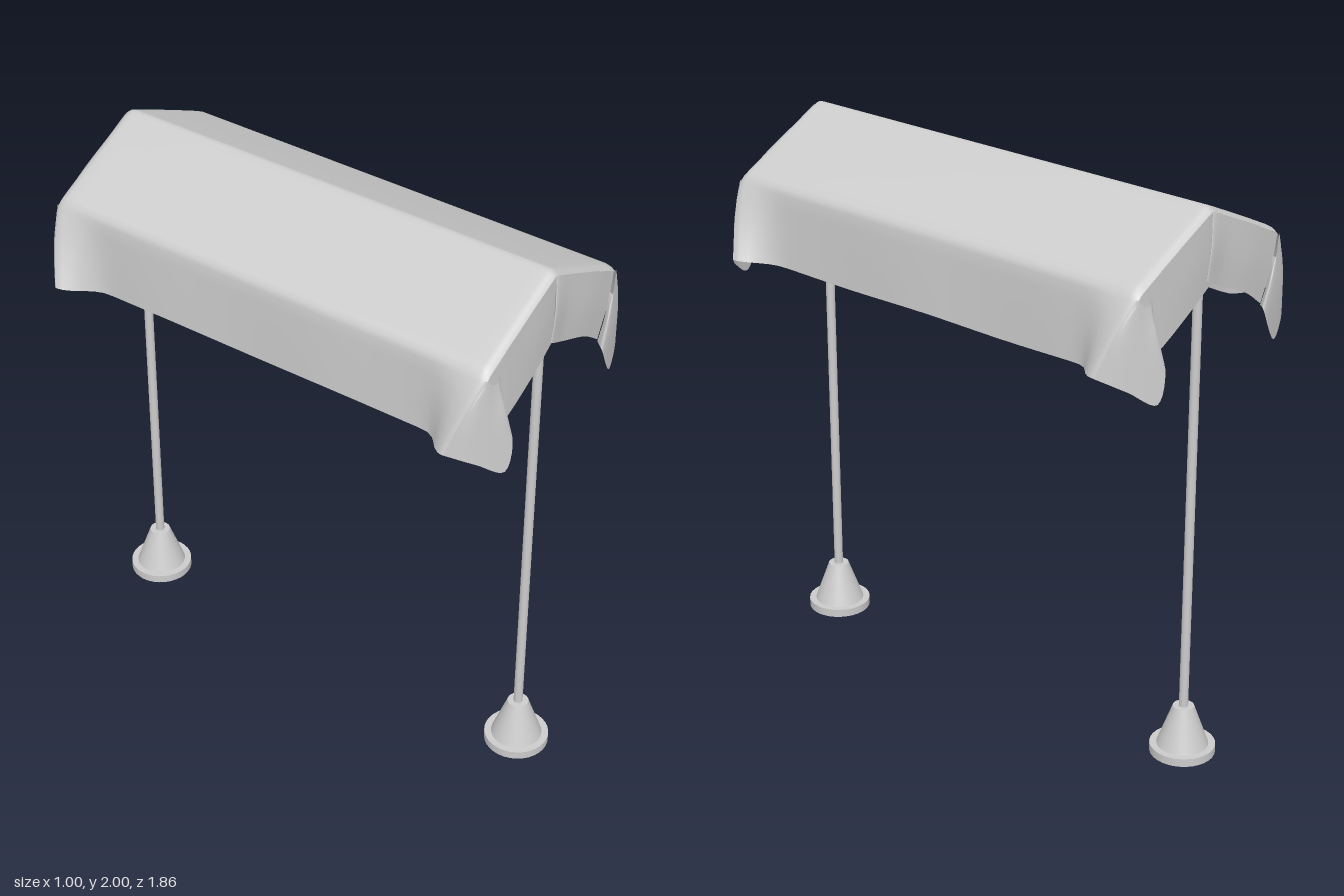
import * as THREE from 'three';

const metal = new THREE.MeshStandardMaterial({ color: 0xcccccc });
const fabric = new THREE.MeshStandardMaterial({ color: 0xcccccc, side: THREE.DoubleSide });

// Smooth surface through a grid of points
function sheet(name, rows) {
  const n = rows[0].length, index = [];
  for (let r = 0; r < rows.length - 1; r++) {
    for (let c = 0; c < n - 1; c++) {
      const a = r * n + c;
      index.push(a, a + n, a + 1, a + 1, a + n, a + n + 1);
    }
  }
  const g = new THREE.BufferGeometry();
  g.setAttribute('position', new THREE.Float32BufferAttribute(rows.flat(2), 3));
  g.setIndex(index);
  g.computeVertexNormals();
  const mesh = new THREE.Mesh(g, fabric);
  mesh.name = name;
  return mesh;
}

// Resample a point list along a soft curve
const soften = (pts, steps) =>
  new THREE.CatmullRomCurve3(pts.map(p => new THREE.Vector3(...p)), false, 'centripetal')
    .getPoints(steps).map(v => v.toArray());

// Hanging cloth: each fold runs from top to hem, folds are blended sideways
function drape(name, folds) {
  const cols = folds.map(f => soften(f, 10));
  const across = cols[0].map((_, i) => soften(cols.map(c => c[i]), (folds.length - 1) * 6));
  return sheet(name, across[0].map((_, j) => across.map(a => a[j])));
}

// Roof and side skirts in one sheet, flaring at the four corners
function roof() {
  const half = [[0, 2], [0.012, 1.996], [0.03, 1.988], [0.12, 1.946], [0.24, 1.889], [0.34, 1.84],
    [0.362, 1.828], [0.377, 1.814], [0.385, 1.795], [0.388, 1.75], [0.391, 1.70], [0.394, 1.65],
    [0.397, 1.595], [0.4, 1.538]];
  const profile = [...half.slice(1).reverse().map(([x, y]) => [-x, y]), ...half];
  const stations = [];
  for (let i = -20; i <= 20; i++) stations.push(i / 20 * 0.83);
  stations.unshift(-0.862, -0.858, -0.846);
  stations.push(0.846, 0.858, 0.862);
  return sheet('canopyRoof', stations.map(z => profile.map(([x, y]) => {
    const t = Math.abs(z) / 0.862;
    const drop = THREE.MathUtils.clamp((1.8 - y) / 0.262, 0, 1);
    const flare = THREE.MathUtils.smoothstep(t, 0.74, 1);
    const wave = 0.004 * Math.sin(z * 9 + x * 4) * drop;
    const round = Math.max(0, (t - 0.965) / 0.035) ** 2 * 0.018 * (1 - drop);
    return [
      x + Math.sign(x) * (0.1 * flare * drop ** 0.8 + wave),
      y + 0.022 * flare * drop + wave - round,
      z * (1 - 0.085 * flare * drop),
    ];
  })));
}

// Folded valance at one gable end
function gableEnd() {
  const g = new THREE.Group();
  g.name = 'gableValance';
  g.add(
    // Flap that laps over the ridge, with its turned-back edge
    drape('leftSlopeFlap', [
      [[0.382, 1.8, 0.852], [0.34, 1.70, 0.862], [0.28, 1.59, 0.866]],
      [[0.25, 1.868, 0.862], [0.21, 1.76, 0.872], [0.18, 1.66, 0.874]],
      [[0.1, 1.938, 0.862], [0.06, 1.82, 0.876], [0.03, 1.73, 0.882]],
      [[0, 1.983, 0.862], [-0.035, 1.88, 0.886], [-0.062, 1.778, 0.892]],
      [[0.01, 1.975, 0.855], [-0.01, 1.87, 0.868], [-0.015, 1.76, 0.87]],
    ]),
    // Flap tucked behind
    drape('rightSlopeFlap', [
      [[0, 1.983, 0.862], [0.01, 1.86, 0.862], [0.015, 1.745, 0.86]],
      [[-0.12, 1.929, 0.862], [-0.1, 1.81, 0.868], [-0.08, 1.70, 0.868]],
      [[-0.26, 1.863, 0.862], [-0.23, 1.74, 0.868], [-0.21, 1.635, 0.872]],
      [[-0.382, 1.8, 0.852], [-0.34, 1.69, 0.862], [-0.32, 1.58, 0.87]],
    ]),
    // Loose corner folds hanging past the eaves
    drape('leftCornerFold', [
      [[0.385, 1.8, 0.855], [0.448, 1.69, 0.825], [0.5, 1.56, 0.787]],
      [[0.38, 1.802, 0.862], [0.42, 1.67, 0.855], [0.43, 1.508, 0.852]],
      [[0.365, 1.785, 0.868], [0.36, 1.63, 0.88], [0.333, 1.452, 0.89]],
      [[0.345, 1.735, 0.874], [0.29, 1.66, 0.893], [0.225, 1.6, 0.915]],
      [[0.35, 1.735, 0.86], [0.31, 1.65, 0.868], [0.27, 1.59, 0.872]],
    ]),
    drape('rightCornerFold', [
      [[-0.31, 1.79, 0.864], [-0.305, 1.69, 0.87], [-0.3, 1.595, 0.872]],
      [[-0.335, 1.77, 0.87], [-0.32, 1.68, 0.895], [-0.3, 1.58, 0.91]],
      [[-0.365, 1.785, 0.868], [-0.365, 1.63, 0.885], [-0.335, 1.452, 0.915]],
      [[-0.38, 1.802, 0.862], [-0.425, 1.67, 0.85], [-0.425, 1.51, 0.862]],
      [[-0.385, 1.8, 0.855], [-0.448, 1.69, 0.825], [-0.5, 1.56, 0.787]],
    ]),
  );
  return g;
}

// Upright pole on a weighted conical foot
function support() {
  const g = new THREE.Group();
  g.name = 'support';
  const part = (name, top, bottom, y0, y1) => {
    const m = new THREE.Mesh(new THREE.CylinderGeometry(top, bottom, y1 - y0, 32), metal);
    m.position.y = (y0 + y1) / 2;
    m.name = name;
    g.add(m);
  };
  part('footDisc', 0.114, 0.114, 0, 0.03);
  part('footCone', 0.037, 0.09, 0.03, 0.177);
  part('pole', 0.016, 0.016, 0.17, 1.97);
  return g;
}

export function createModel() {
  const model = new THREE.Group();
  model.name = 'canopyShelter';
  model.add(roof());
  for (const side of [1, -1]) {
    const end = gableEnd();
    end.rotation.y = side > 0 ? 0 : Math.PI;
    const post = support();
    post.position.z = side * 0.815;
    model.add(end, post);
  }
  return model;
}
